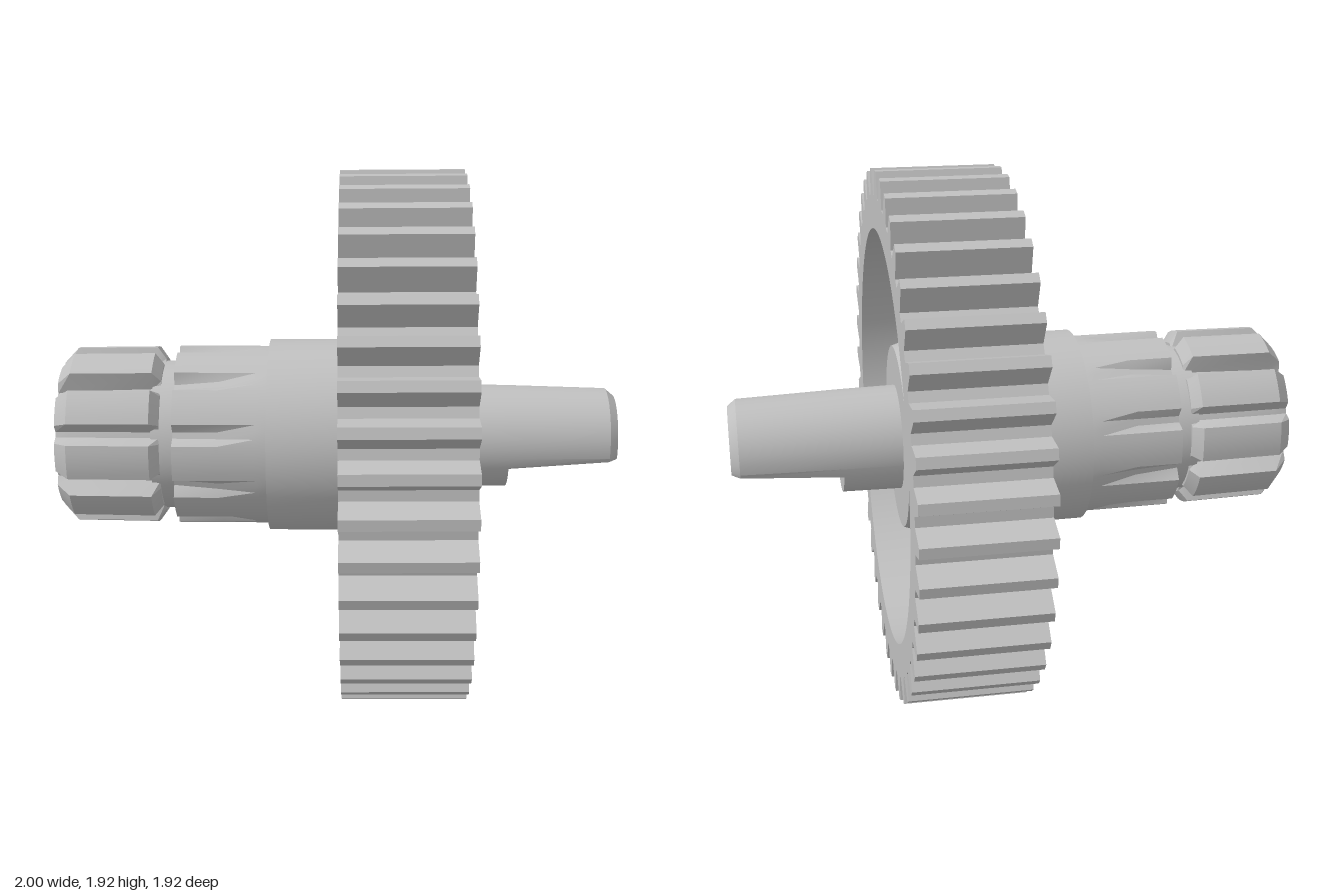
import * as THREE from 'three';
import { toCreasedNormals } from 'three/addons/utils/BufferGeometryUtils.js';

const TAU = Math.PI * 2;

// Closed skin through cross-sections along x; each section is [x, (angle, index) => [y, z]]
function loft(sections, n) {
  const pos = [], idx = [], m = sections.length;
  for (const [x, f] of sections) {
    for (let j = 0; j < n; j++) pos.push(x, ...f(j / n * TAU, j));
  }
  for (let i = 0; i < m - 1; i++) {
    for (let j = 0; j < n; j++) {
      const a = i * n + j, b = i * n + (j + 1) % n;
      idx.push(a, b, a + n, b, b + n, a + n);
    }
  }
  // End caps as fans around the middle of the first and last section
  [0, m - 1].forEach((s, end) => {
    let y = 0, z = 0;
    for (let j = 0; j < n; j++) {
      y += pos[(s * n + j) * 3 + 1] / n;
      z += pos[(s * n + j) * 3 + 2] / n;
    }
    const c = pos.length / 3;
    pos.push(sections[s][0], y, z);
    for (let j = 0; j < n; j++) {
      const a = s * n + j, b = s * n + (j + 1) % n;
      if (end) idx.push(c, a, b); else idx.push(c, b, a);
    }
  });
  const g = new THREE.BufferGeometry();
  g.setAttribute('position', new THREE.Float32BufferAttribute(pos, 3));
  g.setIndex(idx);
  return g;
}

// Fluted ring: outer radius r, grooves cut to depth d, eight points per tooth
const fluted = (x, r, d) => [x, (a, j) => {
  const q = r - (j % 8 < 2 ? d : 0);
  return [q * Math.cos(a), q * Math.sin(a)];
}];

// Turned part around the x axis from [radius, x] points
function turned(points) {
  const g = new THREE.LatheGeometry(points.map(p => new THREE.Vector2(...p)), 48);
  return g.rotateZ(-Math.PI / 2);
}

// Toothed wheel outline
function gearShape(teeth, root, tip) {
  const s = new THREE.Shape(), p = TAU / teeth, pts = [];
  for (let k = 0; k < teeth; k++) {
    for (const [o, r] of [[-0.36, root], [-0.13, tip], [0.13, tip], [0.36, root]]) {
      const a = (k + o) * p;
      pts.push(new THREE.Vector2(r * Math.cos(a), r * Math.sin(a)));
    }
  }
  return s.setFromPoints(pts);
}

// Extrude a shape along x from x0 to x1
function slab(shape, x0, x1) {
  const g = new THREE.ExtrudeGeometry(shape, { depth: x1 - x0, bevelEnabled: false, curveSegments: 48 });
  return g.rotateY(Math.PI / 2).translate(x0, 0, 0);
}

export function createModel() {
  const root = new THREE.Group();
  root.name = 'gearShaft';
  root.position.y = 0.96;
  const grey = new THREE.MeshStandardMaterial({ color: 0xbfbfbf });
  grey.name = 'grey';

  const add = (name, geometry, parent = root) => {
    const mesh = new THREE.Mesh(toCreasedNormals(geometry, 0.45), grey);
    mesh.name = name;
    parent.add(mesh);
    return mesh;
  };

  // Large wheel: solid web at the back, toothed rim around the recess
  const wheel = new THREE.Group();
  wheel.name = 'wheel';
  wheel.rotation.z = 0.008;
  root.add(wheel);
  const floorX = 0.19;
  add('wheelWeb', slab(gearShape(42, 0.87, 0.96), 0.01, floorX), wheel);
  const rim = gearShape(42, 0.87, 0.96);
  rim.holes.push(new THREE.Path().absarc(0, 0, 0.75, 0, TAU, true));
  add('wheelRim', slab(rim, floorX, 0.45), wheel);

  // Hub inside the recess
  add('hub', turned([[0.35, 0.15], [0.35, 0.34], [0.33, 0.4], [0, 0.4]]));

  // Low tapering ribs on the recess floor
  for (const deg of [-51, -38, -20, 20, 38, 51]) {
    const rib = loft([
      [floorX - 0.01, (a, j) => [[0.32, -0.035], [0.72, 0], [0.32, 0.035]][j]],
      [floorX + 0.04, (a, j) => [[0.32, -0.004], [0.36, 0], [0.32, 0.004]][j]],
    ], 3);
    // ring order runs y to z, ribs point toward -z
    add('rib', rib).rotation.x = -Math.PI / 2 + THREE.MathUtils.degToRad(deg);
  }

  // Output shaft with a flat cut under its end
  const shaftRing = (x, r, low) => [x, a => [Math.max(r * Math.cos(a), low), r * Math.sin(a)]];
  add('outputShaft', loft([
    shaftRing(0.3, 0.19, -1),
    shaftRing(0.61, 0.185, -1),
    shaftRing(0.61, 0.185, -0.08),
    shaftRing(0.97, 0.175, -0.05),
    shaftRing(1, 0.15, -0.045),
  ], 32));

  // Collar against the back of the wheel
  add('collar', turned([[0, -0.25], [0.35, -0.25], [0.35, 0.03]]));

  // Sleeve whose flutes run out toward the collar
  add('sleeve', loft([
    fluted(-0.58, 0.325, 0.04),
    fluted(-0.42, 0.325, 0.02),
    fluted(-0.29, 0.325, 0),
    fluted(-0.24, 0.325, 0),
  ], 80));

  // Narrow neck between sleeve and pinion
  add('neck', turned([[0.27, -0.66], [0.27, -0.56]]));

  // Pinion with bevelled teeth and a dished end
  add('pinion', loft([
    fluted(-0.88, 0.07, 0),
    fluted(-0.9, 0.15, 0),
    fluted(-0.98, 0.2, 0),
    fluted(-1, 0.265, 0.03),
    fluted(-0.95, 0.318, 0.07),
    fluted(-0.66, 0.322, 0.06),
    fluted(-0.63, 0.28, 0.02),
  ], 80));

  return root;
}
